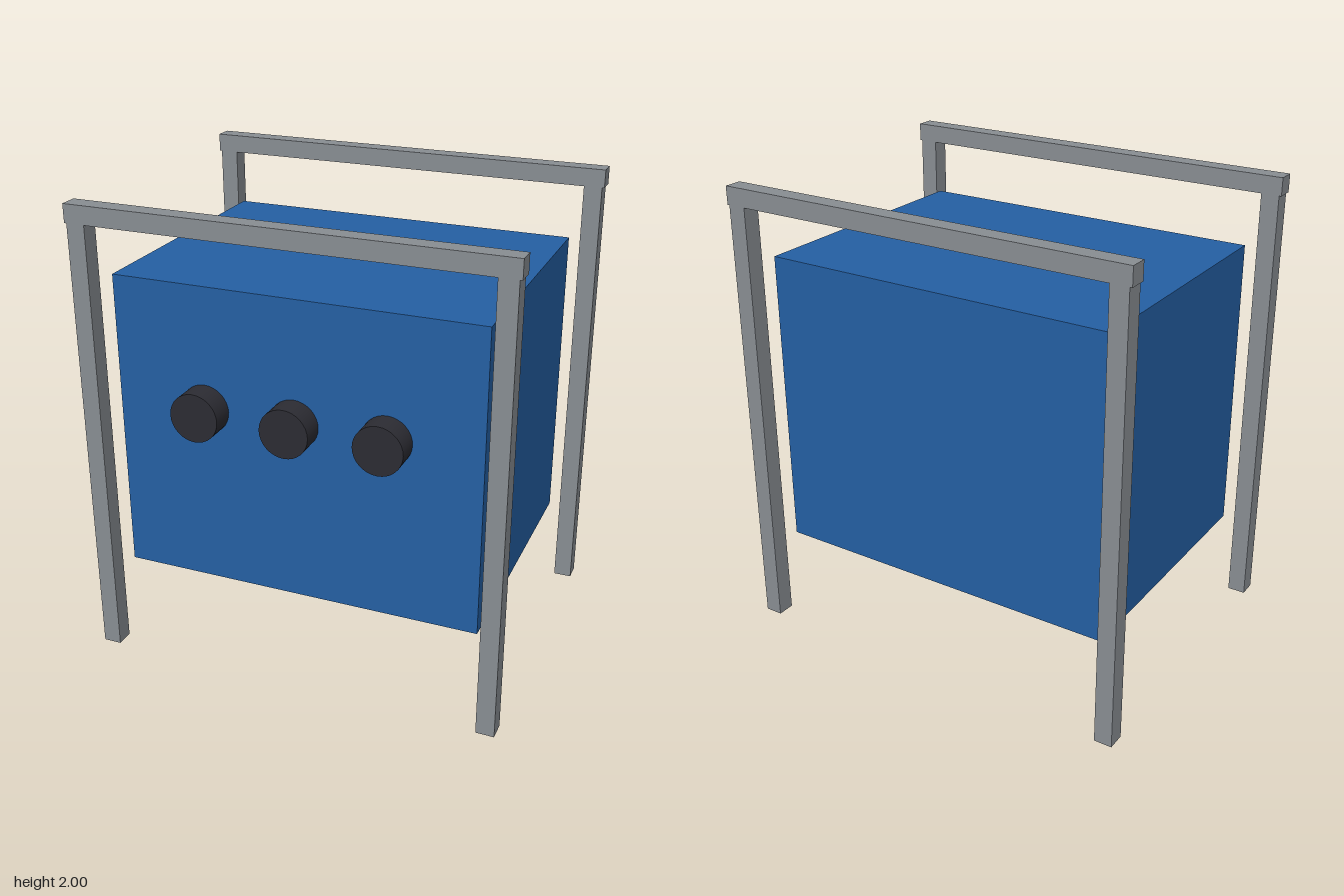
import * as THREE from 'three';

const material = (name, color) => {
  const m = new THREE.MeshStandardMaterial({ color });
  m.name = name;
  return m;
};

export function createModel() {
  const model = new THREE.Group();
  model.name = 'framedBox';

  const blue = material('blue', 0x245fa3);
  const grey = material('grey', 0x888d92);
  const black = material('charcoal', 0x2c2c33);

  const add = (name, geometry, mat, x, y, z) => {
    const mesh = new THREE.Mesh(geometry, mat);
    mesh.name = name;
    mesh.position.set(x, y, z);
    model.add(mesh);
    return mesh;
  };

  // Main housing
  add('housing', new THREE.BoxGeometry(1.566, 1.304, 1.172), blue, 0, 1.047, 0);

  // Front and back frames: two posts under a slightly overhanging rail
  const bar = 0.078;
  const railBottom = 2 - bar;
  const postGeometry = new THREE.BoxGeometry(bar, railBottom, bar);
  const railGeometry = new THREE.BoxGeometry(1.826, bar, bar);
  for (const [end, z] of [['front', 0.653], ['back', -0.653]]) {
    for (const [side, x] of [['Left', 0.864], ['Right', -0.864]]) {
      add(`${end}${side}Post`, postGeometry, grey, x, railBottom / 2, z);
    }
    add(`${end}Rail`, railGeometry, grey, 0, 2 - bar / 2, z);
  }

  // Row of three round knobs on the front face
  const knobDepth = 0.104;
  const knobGeometry = new THREE.CylinderGeometry(0.104, 0.104, knobDepth, 32).rotateX(Math.PI / 2);
  for (const [name, x] of [['leftKnob', 0.391], ['middleKnob', 0], ['rightKnob', -0.391]]) {
    add(name, knobGeometry, black, x, 1.178, 0.586 + knobDepth / 2);
  }

  return model;
}
